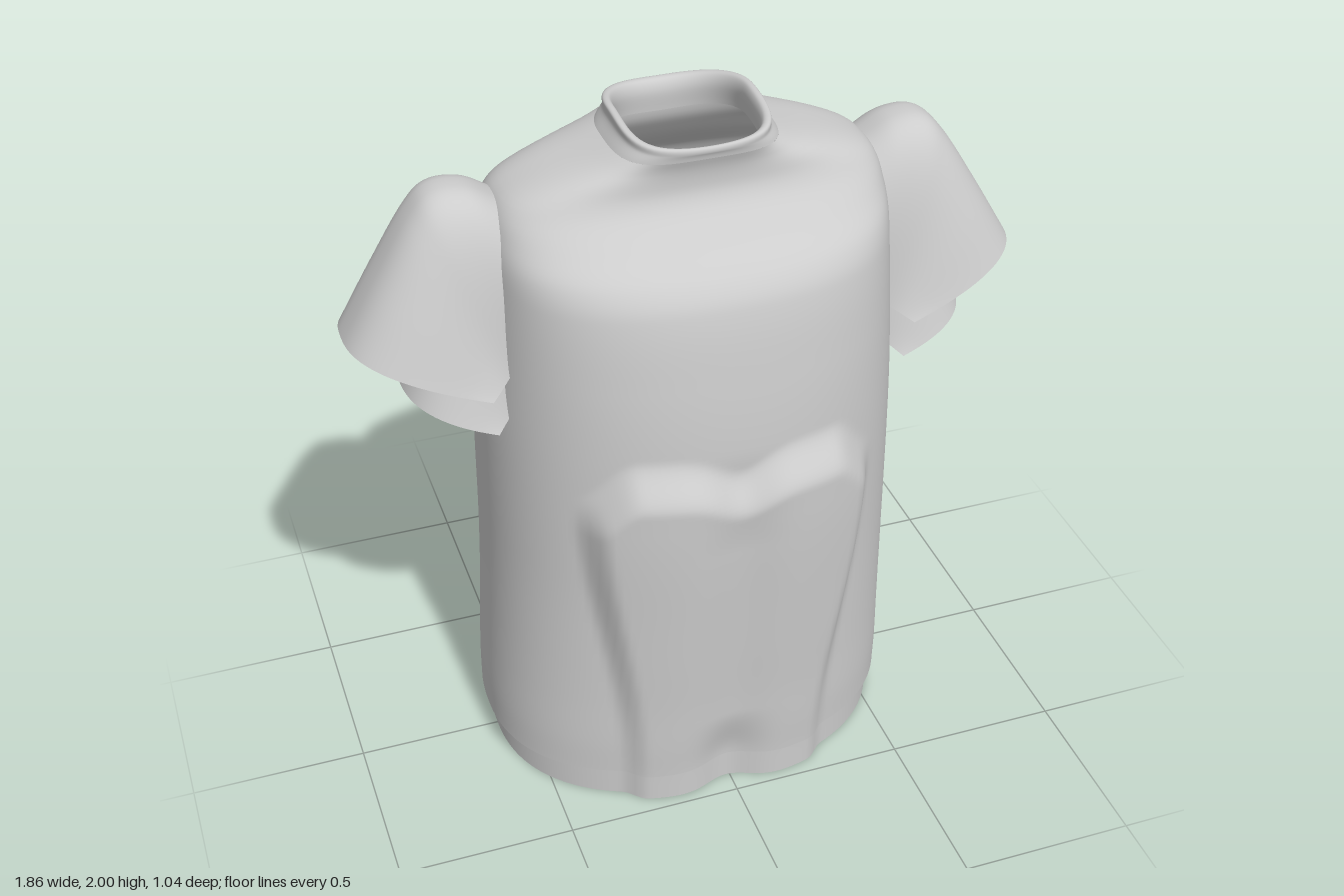
import * as THREE from 'three';

const fabric = new THREE.MeshStandardMaterial({ color: 0xcccccc, side: THREE.DoubleSide });
fabric.name = 'grey fabric';

// Smooth surface through a grid of points; point(row, col) returns [x, y, z]
function surface(name, rows, cols, closed, point) {
  const pos = [], index = [];
  const stride = closed ? cols : cols + 1;
  for (let r = 0; r <= rows; r++)
    for (let c = 0; c < stride; c++) pos.push(...point(r / rows, c / cols));
  for (let r = 0; r < rows; r++)
    for (let c = 0; c < cols; c++) {
      const a = r * stride + c, b = r * stride + (c + 1) % stride;
      const d = a + stride, e = b + stride;
      index.push(a, d, b, b, d, e);
    }
  const geo = new THREE.BufferGeometry();
  geo.setAttribute('position', new THREE.Float32BufferAttribute(pos, 3));
  geo.setIndex(index);
  geo.computeVertexNormals();
  const mesh = new THREE.Mesh(geo, fabric);
  mesh.name = name;
  return mesh;
}

// Interpolate a table of sections whose first column rises, by that column
function sample(table, key) {
  let i = 0;
  while (i < table.length - 2 && key > table[i + 1][0]) i++;
  const p = table[Math.max(0, i - 1)], a = table[i], b = table[i + 1];
  const q = table[Math.min(table.length - 1, i + 2)];
  const h = b[0] - a[0], t = THREE.MathUtils.clamp((key - a[0]) / h, 0, 1);
  return a.map((v, k) => {
    const m0 = (b[k] - p[k]) / (b[0] - p[0]) * h, m1 = (q[k] - v) / (q[0] - a[0]) * h;
    const t2 = t * t, t3 = t2 * t;
    return (2 * t3 - 3 * t2 + 1) * v + (t3 - 2 * t2 + t) * m0 + (3 * t2 - 2 * t3) * b[k] + (t3 - t2) * m1;
  });
}

const step = THREE.MathUtils.smoothstep;
const bell = (x, s) => Math.exp(-((x / s) ** 2));

// Raised front panel with two rounded lobes and a hollow at the bottom centre
function frontRelief(x, y) {
  const ax = Math.abs(x);
  const half = 0.3 + 0.11 * step(y, 0.1, 1.05);
  const top = 1.2 - 0.06 * bell(x, 0.09) - 0.12 * step(ax, 0.27, 0.42);
  const height = 0.03 + 0.035 * step(y, 0.05, 1.0);
  const side = 1 - step(ax, half - 0.05, half + 0.01);
  const cap = 1 - step(y, top - 0.13, top);
  const hollow = 1 - 0.8 * bell(x, 0.085) * (1 - step(y, 0.1, 0.28));
  return height * side * cap * hollow - 0.025 * bell(x, 0.1) * (1 - step(y, 0.9, 1.2));
}

// Back: shallow central channel and fuller folds low down
function backRelief(x, y) {
  const low = 1 - step(y, 0.2, 0.7);
  return 0.022 * bell(x, 0.09) * (1 - step(y, 1.5, 1.75))
    - low * (0.02 * bell(x - 0.14, 0.1) + 0.015 * bell(x + 0.2, 0.1));
}

// Point on a body ring: half width, front depth, back depth, front and back squareness
function ringPoint([y, w, zf, zb, nf, nb], u, relief) {
  const a = u * Math.PI * 2, c = Math.cos(a), s = Math.sin(a);
  const d = s > 0 ? zf : zb, n = s > 0 ? nf : nb;
  const r = (Math.abs(c / w) ** n + Math.abs(s / d) ** n) ** (-1 / n);
  const x = r * c, z = r * s;
  const bump = (s > 0 ? frontRelief(x, y) : backRelief(x, y)) * step(Math.abs(s), 0.05, 0.4);
  return [x - 0.01 * (1 - step(y, 0, 0.8)), y, z + relief * bump];
}

// Torso sections: y, half width, front, back, front squareness, back squareness
const torso = [
  [0.09, 0.6, 0.455, 0.49, 2.3, 2.3],
  [0.2, 0.6, 0.46, 0.49, 2.3, 2.3],
  [0.35, 0.595, 0.462, 0.46, 2.3, 2.4],
  [0.5, 0.59, 0.465, 0.42, 2.3, 2.5],
  [0.7, 0.585, 0.468, 0.395, 2.3, 2.6],
  [1.0, 0.58, 0.475, 0.38, 2.3, 2.7],
  [1.2, 0.575, 0.475, 0.38, 2.3, 2.7],
  [1.4, 0.562, 0.458, 0.385, 2.4, 2.7],
  [1.6, 0.55, 0.425, 0.365, 2.5, 2.7],
  [1.67, 0.546, 0.385, 0.335, 2.6, 2.7],
  [1.73, 0.538, 0.31, 0.28, 2.8, 2.8],
  [1.79, 0.52, 0.245, 0.232, 3, 2.8],
  [1.83, 0.485, 0.222, 0.205, 3, 2.6],
  [1.87, 0.4, 0.218, 0.195, 3, 2.4],
  [1.905, 0.29, 0.222, 0.195, 3.2, 2.3],
  [1.93, 0.222, 0.23, 0.2, 3.8, 2.2],
];

// Collar sections, rising then folding inwards: step, half width, front, back, y
const collar = [
  [0, 0.222, 0.23, 0.2, 1.93],
  [1, 0.2, 0.235, 0.2, 1.965],
  [2, 0.198, 0.235, 0.198, 1.995],
  [3, 0.18, 0.222, 0.175, 1.995],
  [4, 0.172, 0.212, 0.162, 1.965],
  [5, 0.18, 0.21, 0.165, 1.91],
];

// Sleeve sections: step, top x, top y, lower x, lower y, half width, z shift
const outerSleeve = [
  [0, 0.49, 1.8, 0.47, 1.42, 0.165, 0],
  [1, 0.58, 1.85, 0.49, 1.4, 0.17, 0],
  [2, 0.67, 1.85, 0.51, 1.39, 0.178, 0],
  [3, 0.735, 1.79, 0.53, 1.37, 0.187, 0.003],
  [4, 0.83, 1.64, 0.56, 1.35, 0.205, 0.01],
  [5, 0.93, 1.47, 0.59, 1.33, 0.22, 0.017],
];
const innerSleeve = [
  [0, 0.5, 1.7, 0.47, 1.3, 0.15, 0],
  [1, 0.61, 1.66, 0.5, 1.27, 0.165, 0],
  [2, 0.71, 1.5, 0.54, 1.24, 0.185, 0.005],
  [3, 0.79, 1.3, 0.575, 1.21, 0.205, 0.01],
];

// Sleeve: arches running from front to back over the arm, open towards the body
function sleeve(name, table) {
  const last = table.length - 1;
  return surface(name, 40, 48, false, (v, u) => {
    const [, tx, ty, bx, by, hw, dz] = sample(table, v * last);
    const a = u * Math.PI, c = Math.cos(a), e = 2 / 2.6;
    const d = Math.max(0, Math.sin(a)) ** e;
    const z = Math.sign(c) * Math.abs(c) ** e * hw + dz;
    return [bx + (tx - bx) * d, by + (ty - by) * d, z];
  });
}

export function createModel() {
  const shirt = new THREE.Group();
  shirt.name = 'shirt';

  shirt.add(surface('torso', 150, 180, true, (v, u) =>
    ringPoint(sample(torso, 0.09 + 1.84 * v), u, 1)));

  // Under layer showing below the torso edge
  shirt.add(surface('hem', 12, 180, true, (v, u) => {
    const y = 0.16 * v;
    return ringPoint([y, 0.578, 0.452, 0.502 - 0.03 * step(y, 0.05, 0.14), 2.3, 2.3], u, 1);
  }));

  // Neck band, dipping at the front and back
  shirt.add(surface('collar', 30, 96, true, (v, u) => {
    const [k, w, zf, zb, y] = sample(collar, v * 5);
    const p = ringPoint([y, w, zf, zb, 3.8, 2.2], u, 0);
    const dip = 0.035 * step(k, 0, 2) * Math.sin(u * Math.PI * 2) ** 2;
    return [p[0], y - dip, p[2]];
  }));

  for (const [side, sign] of [['left', 1], ['right', -1]]) {
    const arm = new THREE.Group();
    arm.name = side + 'Sleeve';
    arm.add(sleeve('outerSleeve', outerSleeve), sleeve('innerSleeve', innerSleeve));
    arm.scale.x = sign;
    shirt.add(arm);
  }
  return shirt;
}
